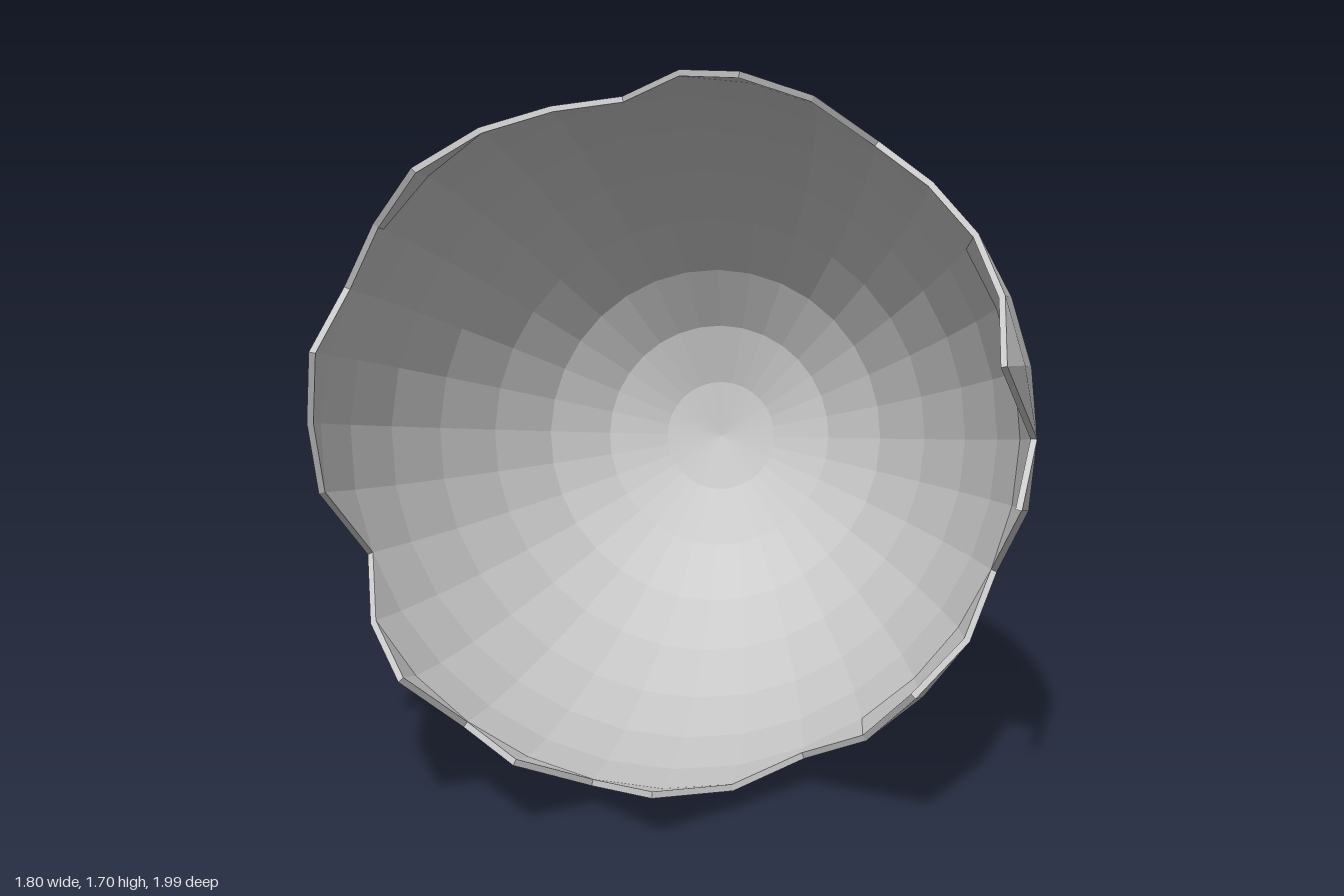
import * as THREE from 'three';

// Shell profile along the egg axis: [distance from widest ring, radius], closed end first
const R = 0.847;
const axial = [-1.415, -1.39, -1.32, -1.18, -0.98, -0.74, -0.49, -0.235, 0.005, 0.226, 0.408];
const radial = [0, 0.155, 0.315, 0.466, 0.592, 0.7, 0.779, 0.829, R, 0.826, 0.782];
const SEGMENTS = 32;
const INNER = 0.982;

// Broken rim: [meridian number, axial position], running once around the egg
const rim = [
  [-16, 0.125], [-15, 0.015], [-14, -0.24], [-13, -0.01], [-12, 0.226], [-11, 0.015],
  [-10, 0.226], [-9, 0.01], [-8, 0.226], [-7, 0.005], [-6, -0.17], [-5, 0.005],
  [-4, 0.226], [-3, -0.01], [-2, -0.235], [-1, 0.005], [-1, 0.228], [0, 0.005],
  [1, 0.408], [2, 0.227], [3, 0.01], [4, -0.056], [5, -0.117], [6, 0.09],
  [7, 0.224], [8, -0.005], [9, -0.235], [10, -0.125], [11, 0.007], [12, 0.222],
  [13, 0.1], [14, 0.008], [15, 0.228], [16, 0.125],
];

function radiusAt(t) {
  let j = 1;
  while (j < axial.length - 1 && t > axial[j]) j++;
  const f = (t - axial[j - 1]) / (axial[j] - axial[j - 1]);
  return THREE.MathUtils.lerp(radial[j - 1], radial[j], f);
}

function shellPoint(i, t, scale = 1) {
  const angle = (i / SEGMENTS) * Math.PI * 2;
  const r = radiusAt(t);
  return new THREE.Vector3(r * Math.cos(angle), r * Math.sin(angle), t).multiplyScalar(scale);
}

function flatGeometry(build) {
  const positions = [];
  const triangle = (a, b, c) => {
    const area = b.clone().sub(a).cross(c.clone().sub(a)).length();
    if (area > 1e-7) positions.push(...a.toArray(), ...b.toArray(), ...c.toArray());
  };
  build((a, b, c, d) => { triangle(a, b, c); triangle(a, c, d); });
  const geometry = new THREE.BufferGeometry();
  geometry.setAttribute('position', new THREE.Float32BufferAttribute(positions, 3));
  geometry.computeVertexNormals();
  return geometry;
}

// Strips run from the closed end up to the broken rim
function wallGeometry(scale, inward) {
  return flatGeometry((quad) => {
    for (let k = 0; k < rim.length - 1; k++) {
      const [i0, t0] = rim[k];
      const [i1, t1] = rim[k + 1];
      if (i0 === i1) continue;
      for (let j = 0; j < axial.length - 1; j++) {
        const corners = [
          shellPoint(i0, Math.min(axial[j], t0), scale),
          shellPoint(i1, Math.min(axial[j], t1), scale),
          shellPoint(i1, Math.min(axial[j + 1], t1), scale),
          shellPoint(i0, Math.min(axial[j + 1], t0), scale),
        ];
        if (inward) corners.reverse();
        quad(...corners);
      }
    }
  });
}

// Thin edge joining the outer and inner walls
function edgeGeometry() {
  return flatGeometry((quad) => {
    for (let k = 0; k < rim.length - 1; k++) {
      const p = rim[k];
      const q = rim[k + 1];
      quad(shellPoint(...p), shellPoint(...q), shellPoint(...q, INNER), shellPoint(...p, INNER));
    }
  });
}

export function createModel() {
  const shellGrey = new THREE.MeshStandardMaterial({ color: 0xcccccc });
  shellGrey.name = 'shell grey';

  const egg = new THREE.Group();
  egg.name = 'brokenEggshell';
  const add = (name, geometry) => {
    const mesh = new THREE.Mesh(geometry, shellGrey);
    mesh.name = name;
    egg.add(mesh);
  };
  add('outerShell', wallGeometry(1, false));
  add('innerShell', wallGeometry(INNER, true));
  add('brokenEdge', edgeGeometry());

  // Lay the egg on its side, opening turned to the front and a little up
  const yaw = THREE.MathUtils.degToRad(33);
  const pitch = THREE.MathUtils.degToRad(12);
  egg.rotation.set(-pitch, -yaw, 0, 'YXZ');
  egg.position.set(-0.128, 0.868, 0.275);

  const model = new THREE.Group();
  model.name = 'model';
  model.add(egg);
  return model;
}
